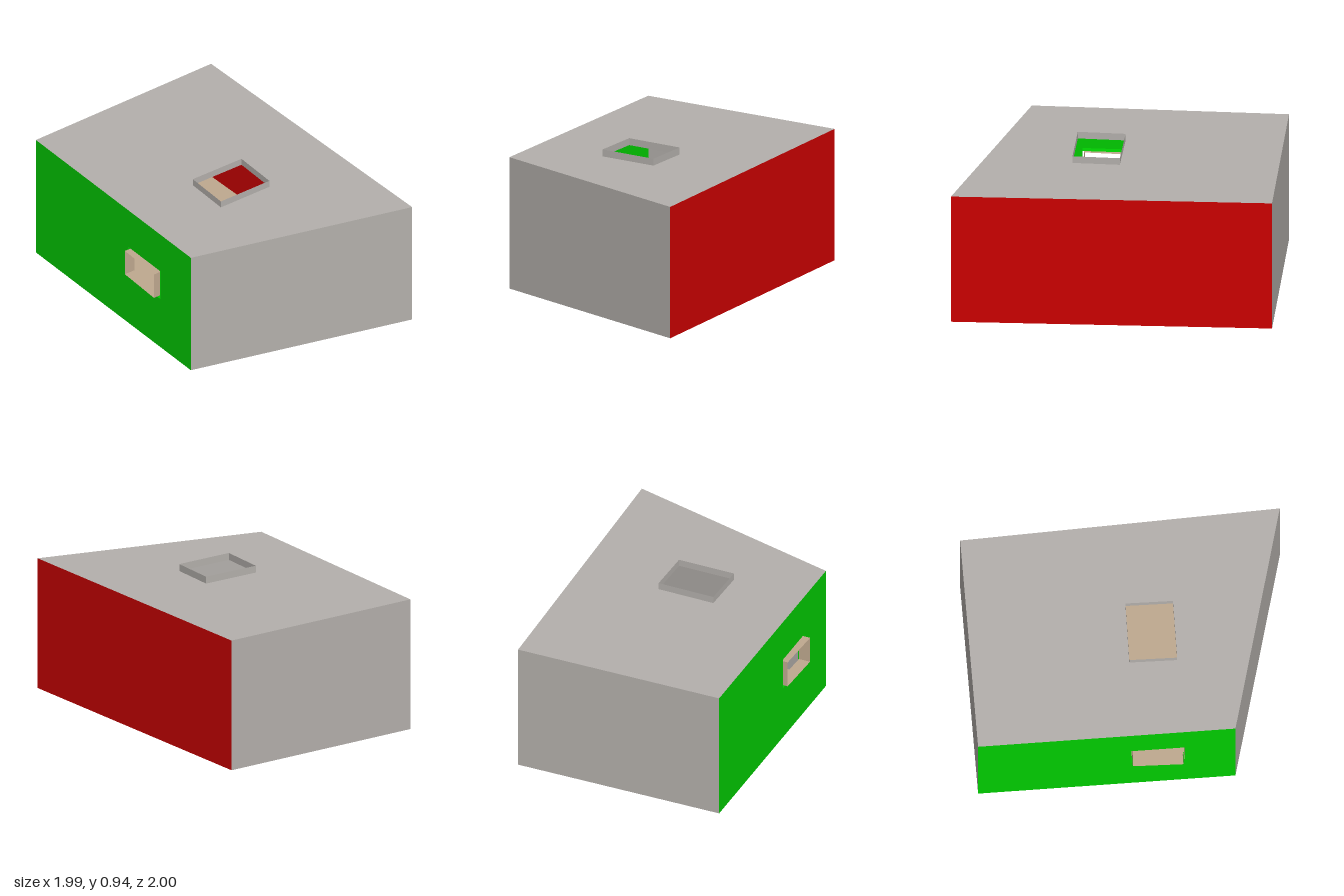
import * as THREE from 'three';

const paint = (name, color) => {
  const m = new THREE.MeshStandardMaterial({ color, side: THREE.DoubleSide });
  m.name = name;
  return m;
};

export function createModel() {
  const group = new THREE.Group();
  const grey = paint('grey', 0xb4b0ac);
  const red = paint('red', 0xcc0000);
  const green = paint('green', 0x00cc00);
  const tan = paint('tan', 0xbfa98f);
  const H = 0.89;

  const add = (name, geometry, material) => {
    const mesh = new THREE.Mesh(geometry, material);
    mesh.name = name;
    group.add(mesh);
    return mesh;
  };
  const outline = (points) => points.map(([x, y]) => new THREE.Vector2(x, y));

  // Footprint corners as [x, z]: front right, front left, back left, back right
  const plan = [[-0.56, 1], [0.99, 1], [0.385, -1], [-0.995, -0.62]];
  const skylight = [[-0.24, 0.237], [0.14, 0.14], [0.215, 0.44], [-0.165, 0.54]];

  // Upright sheet between two footprint corners, with an optional opening
  const wall = (name, a, b, material, opening) => {
    const dx = b[0] - a[0], dz = b[1] - a[1], length = Math.hypot(dx, dz);
    const shape = new THREE.Shape(outline([[0, 0], [length, 0], [length, H], [0, H]]));
    if (opening) shape.holes.push(new THREE.Path(outline(opening)));
    const mesh = add(name, new THREE.ShapeGeometry(shape), material);
    mesh.position.set(a[0], 0, a[1]);
    mesh.rotation.y = -Math.atan2(dz, dx);
  };
  wall('frontWall', plan[0], plan[1], grey);
  wall('leftWall', plan[1], plan[2], red);
  wall('backWall', plan[2], plan[3], grey);
  wall('rightWall', plan[3], plan[0], green,
    [[1, 0.38], [1, 0.6], [1.347, 0.6], [1.347, 0.38]]);

  // Floor and roof, the roof pierced by the skylight
  const floor = new THREE.ShapeGeometry(new THREE.Shape(outline(plan)));
  add('floor', floor.rotateX(Math.PI / 2), tan);
  const flip = (points) => outline(points.map(([x, z]) => [x, -z]));
  const roofShape = new THREE.Shape(flip(plan));
  roofShape.holes.push(new THREE.Path(flip(skylight)));
  const roof = add('roof', new THREE.ShapeGeometry(roofShape).rotateX(-Math.PI / 2), grey);
  roof.position.y = H;

  // Open thin frame joining an inner ring to an outer ring
  const frame = (name, inner, outer, material) => {
    const p = [];
    inner.forEach((a, i) => {
      const j = (i + 1) % inner.length;
      p.push(...a, ...outer[j], ...inner[j], ...a, ...outer[i], ...outer[j]);
    });
    const g = new THREE.BufferGeometry();
    g.setAttribute('position', new THREE.Float32BufferAttribute(p, 3));
    g.computeVertexNormals();
    add(name, g, material);
  };
  const level = (y) => skylight.map(([x, z]) => [x, y, z]);
  frame('skylightFrame', level(H), level(0.937), grey);

  // Window sleeve standing in a slightly taller green reveal
  const upright = ([x0, z0], [x1, z1], y0, y1) =>
    [[x0, y0, z0], [x0, y1, z0], [x1, y1, z1], [x1, y0, z1]];
  frame('windowFrame', upright([-0.688, 0.34], [-0.613, 0.66], 0.4, 0.585),
    upright([-0.765, 0.36], [-0.69, 0.68], 0.4, 0.585), tan);
  frame('windowReveal', upright([-0.69, 0.332], [-0.6, 0.667], 0.38, 0.6),
    upright([-0.736, 0.345], [-0.646, 0.68], 0.38, 0.6), green);

  return group;
}
